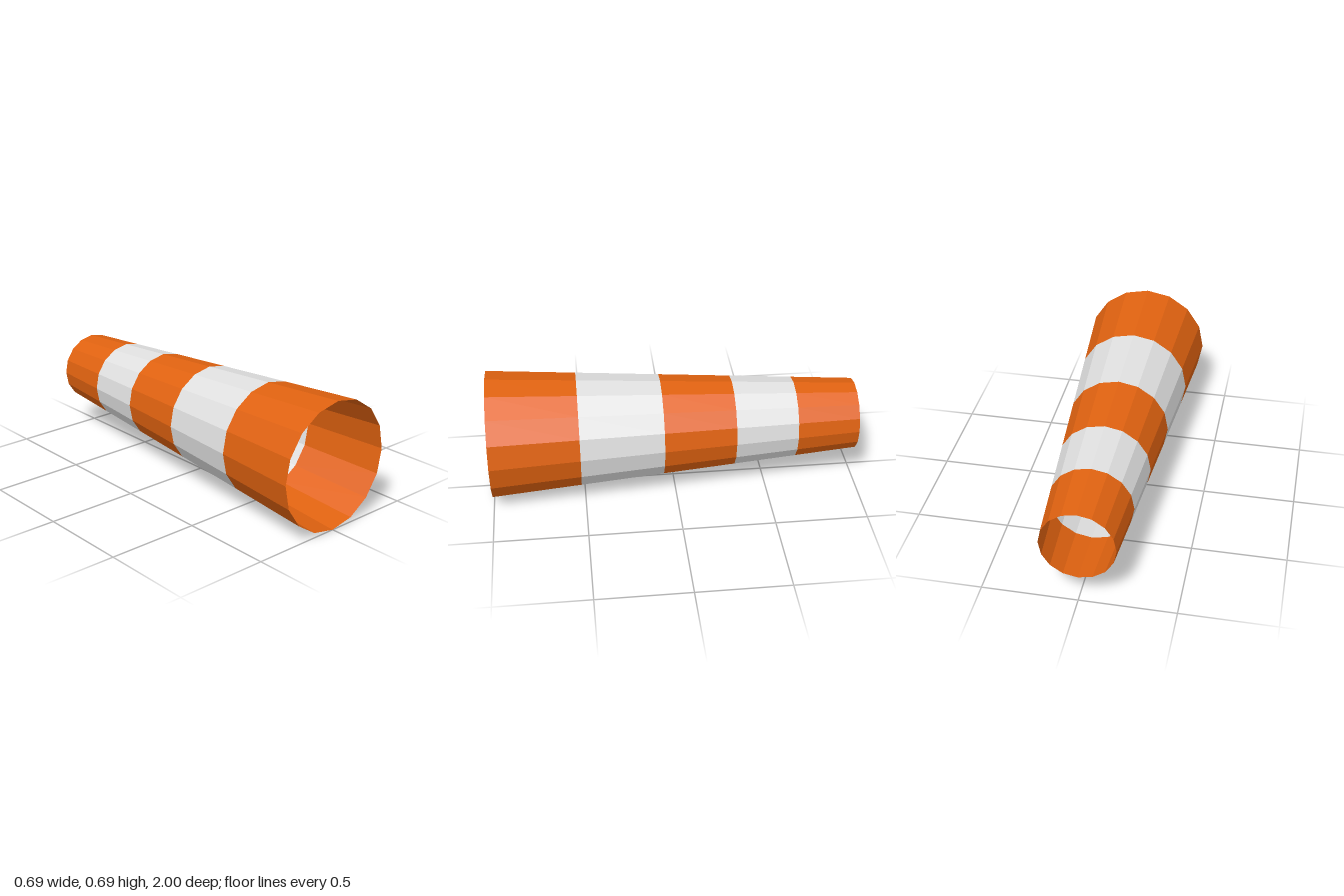
import * as THREE from 'three';

export function createModel() {
  const model = new THREE.Group();
  model.name = 'trafficCone';

  const orange = new THREE.MeshStandardMaterial({ color: 0xe06210, flatShading: true, side: THREE.DoubleSide });
  orange.name = 'orange';
  const white = new THREE.MeshStandardMaterial({ color: 0xe0e0e0, flatShading: true, side: THREE.DoubleSide });
  white.name = 'reflectiveWhite';

  // Open tapered shell lying along z, wide end at the front
  const baseRadius = 0.346, tipRadius = 0.195, sides = 16;
  const radiusAt = (z) => THREE.MathUtils.mapLinear(z, 1, -1, baseRadius, tipRadius);

  // Bands from wide end to narrow end, alternating colour
  const cuts = [1, 0.52, 0.07, -0.32, -0.66, -1];
  const names = ['baseBand', 'lowerStripe', 'middleBand', 'upperStripe', 'tipBand'];
  names.forEach((name, i) => {
    const front = cuts[i], back = cuts[i + 1];
    const band = new THREE.CylinderGeometry(radiusAt(front), radiusAt(back), front - back, sides, 1, true);
    band.rotateX(Math.PI / 2);
    band.translate(0, baseRadius, (front + back) / 2);
    const mesh = new THREE.Mesh(band, i % 2 ? white : orange);
    mesh.name = name;
    model.add(mesh);
  });

  return model;
}
